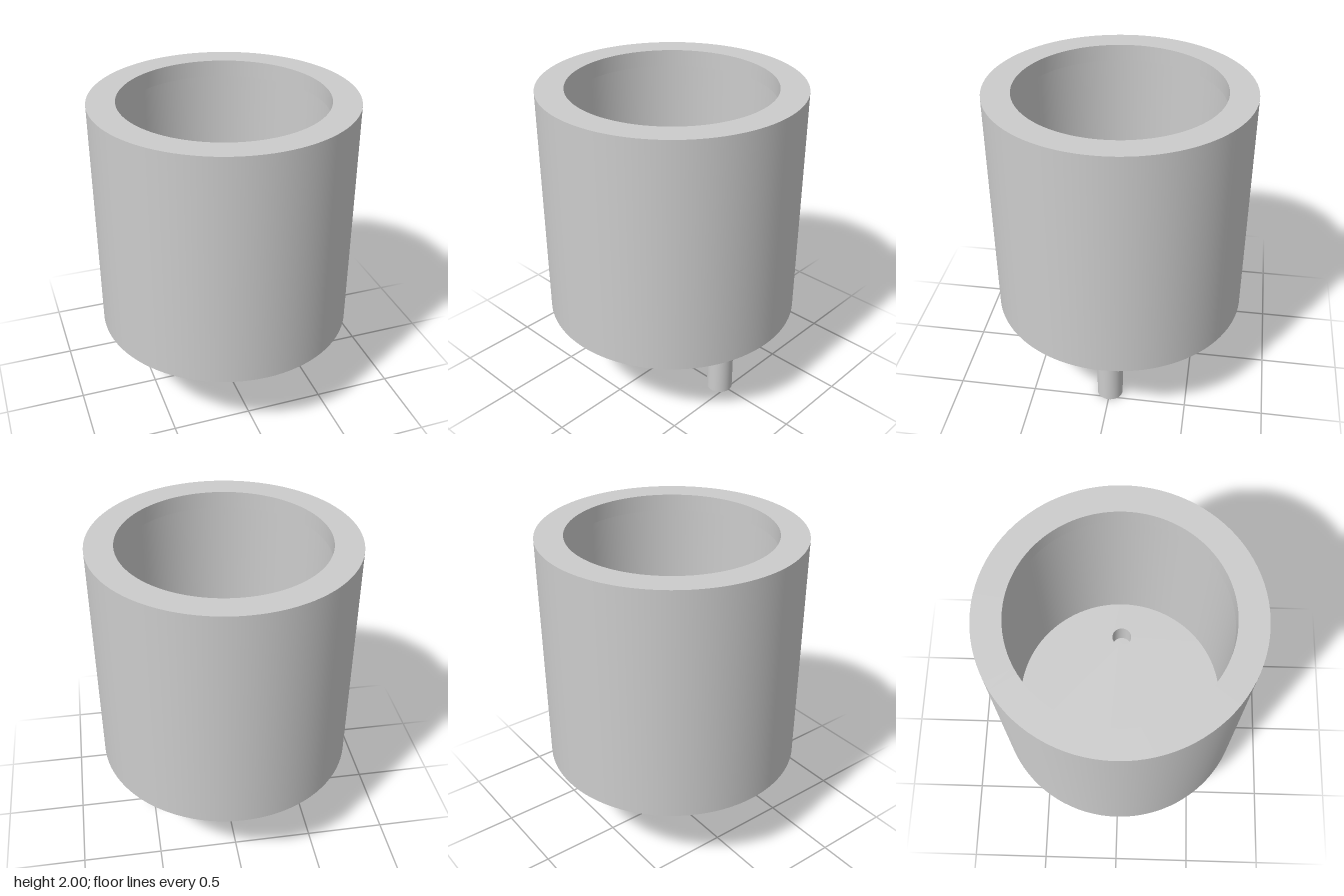
import * as THREE from 'three';
import { mergeGeometries } from 'three/addons/utils/BufferGeometryUtils.js';

const SEG = 96;
const OUTER = 0.8, MOUTH = 0.63, BORE = 0.67, RECESS = 0.42, HOLE = 0.065;
const BOTTOM = 0.53, CEILING = 0.615, FLOOR = 0.7, LIP = 1.895, TOP = 2;

const grey = new THREE.MeshStandardMaterial({ color: 0xcccccc });
grey.name = 'light grey';

// Revolve each profile edge separately so corners stay sharp and walls smooth
function revolve(profile) {
  const bands = [];
  for (let i = 0; i + 1 < profile.length; i++) {
    const pts = [profile[i], profile[i + 1]].map(([r, y]) => new THREE.Vector2(r, y));
    bands.push(new THREE.LatheGeometry(pts, SEG));
  }
  return mergeGeometries(bands);
}

// Round plate with cut-outs, lying between two heights
function plate(radius, holes, y0, y1) {
  const shape = new THREE.Shape();
  shape.absarc(0, 0, radius, 0, Math.PI * 2, false);
  shape.holes.push(...holes);
  const g = new THREE.ExtrudeGeometry(shape, { depth: y1 - y0, bevelEnabled: false, curveSegments: SEG / 2 });
  g.rotateX(-Math.PI / 2);
  g.translate(0, y0, 0);
  return g;
}

function roundHole(x) {
  const p = new THREE.Path();
  p.absarc(x, 0, HOLE, 0, Math.PI * 2, false);
  return p;
}

// Recess outline, widened where the two pin holes cross its edge
function recessOutline() {
  const a = 2 * Math.asin(HOLE / (2 * RECESS)), q = Math.PI / 2, p = new THREE.Path();
  p.absarc(0, 0, RECESS, a, Math.PI - a, false);
  p.absarc(-RECESS, 0, HOLE, q - a / 2, 3 * q + a / 2, false);
  p.absarc(0, 0, RECESS, Math.PI + a, 2 * Math.PI - a, false);
  p.absarc(RECESS, 0, HOLE, -q - a / 2, q + a / 2, false);
  return p;
}

export function createModel() {
  const model = new THREE.Group();
  model.name = 'cylindricalHousing';
  const add = (name, geometry) => {
    const mesh = new THREE.Mesh(geometry, grey);
    mesh.name = name;
    model.add(mesh);
    return mesh;
  };

  // Outer wall, rim, lip and wider bore below the lip
  add('shell', revolve([
    [OUTER - 0.01, BOTTOM], [OUTER, BOTTOM], [OUTER, TOP], [MOUTH, TOP],
    [MOUTH, LIP], [BORE, LIP], [BORE, FLOOR],
  ]));

  // Underside ring around the shallow recess, and the floor above it
  add('baseRing', plate(OUTER - 0.01, [recessOutline()], BOTTOM, CEILING));
  add('floor', plate(OUTER - 0.01, [roundHole(-RECESS), roundHole(RECESS)], CEILING, FLOOR));

  // Single pin under the left hole
  add('pin', new THREE.CylinderGeometry(0.083, 0.083, BOTTOM, 48)).position.set(0.44, BOTTOM / 2, 0);

  return model;
}
